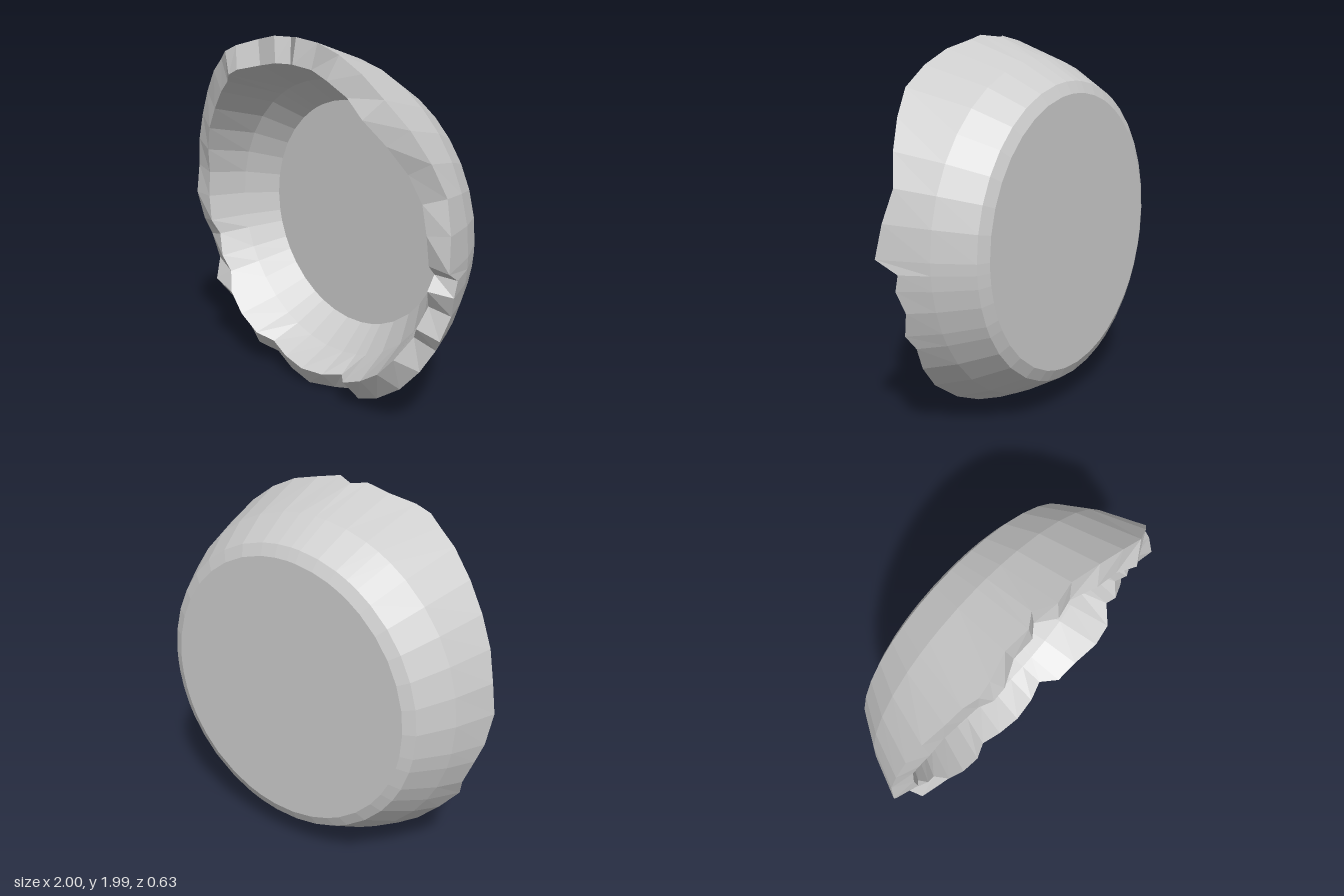
import * as THREE from 'three';

// Broken edge: angle in degrees, depth of the outer edge, depth of the inner edge
const RIM = [
  0, .16, .14, 10, .13, .15, 20, .10, .14, 30, .15, .18, 40, .20, .25, 50, .25, .31,
  60, .25, .28, 70, .24, .28, 80, .22, .24, 87, .25, .27, 93, .19, .20, 97, .24, .25,
  105, .23, .25, 113, .27, .31, 118, .28, .31, 123, .25, .27, 130, .23, .25, 140, .19, .22,
  150, .16, .20, 160, .14, .17, 170, .12, .14, 180, .13, .14, 190, .10, .14, 196, .07, .10,
  205, .06, .12, 212, .12, .10, 220, .07, .15, 230, .06, .16, 240, .08, .15, 247, .03, .10,
  256, .05, .12, 266, .06, .13, 276, .02, .11, 284, .00, .07, 290, .07, .15, 300, .09, .16,
  312, .10, .19, 322, .08, .18, 331, .05, .10, 336, .08, .13, 344, .04, .08, 351, .07, .13,
  356, .05, .08,
];
const N = RIM.length / 3;
const CENTER_Y = 0.98;

// Radius of the curved outer wall at depth z
const outerRadius = z => 0.95 + 0.4 * z - 0.45 * z * z;

// A ring is a rule giving [radius, z] for each angle step
const circle = (r, z) => () => [r, z];
const backCenter = circle(0, -0.32);
const backEdge = circle(0.735, -0.32);
const heel = circle(outerRadius(-0.29), -0.29);
const outerMid = circle(outerRadius(-0.1), -0.1);
const outerRim = i => [outerRadius(RIM[i * 3 + 1]), RIM[i * 3 + 1]];
const innerRim = i => [0.86 + (RIM[i * 3 + 2] - 0.14) * 0.2, RIM[i * 3 + 2]];
const innerMid = circle(0.77, -0.06);
const floorEdge = circle(0.64, -0.22);
const floorCenter = circle(0, -0.22);

// Skin a strip of faces through successive rings
function loft(name, rings, material) {
  const pos = [], index = [];
  for (const ring of rings) {
    for (let i = 0; i < N; i++) {
      const a = THREE.MathUtils.degToRad(RIM[i * 3]);
      const [r, z] = ring(i);
      pos.push(r * Math.cos(a), CENTER_Y + r * Math.sin(a), z);
    }
  }
  for (let k = 0; k < rings.length - 1; k++) {
    for (let i = 0; i < N; i++) {
      const j = (i + 1) % N;
      const a = k * N + i, b = k * N + j, c = b + N, d = a + N;
      index.push(a, b, c, a, c, d);
    }
  }
  const geometry = new THREE.BufferGeometry();
  geometry.setAttribute('position', new THREE.Float32BufferAttribute(pos, 3));
  geometry.setIndex(index);
  geometry.computeVertexNormals();
  const mesh = new THREE.Mesh(geometry, material);
  mesh.name = name;
  return mesh;
}

export function createModel() {
  const group = new THREE.Group();
  group.name = 'brokenBowl';
  const material = new THREE.MeshStandardMaterial({ color: 0xcccccc, flatShading: true });
  group.add(
    loft('base', [backCenter, backEdge, heel], material),
    loft('outerWall', [heel, outerMid, outerRim], material),
    loft('brokenRim', [outerRim, innerRim], material),
    loft('innerWall', [innerRim, innerMid, floorEdge], material),
    loft('floor', [floorEdge, floorCenter], material),
  );
  return group;
}
